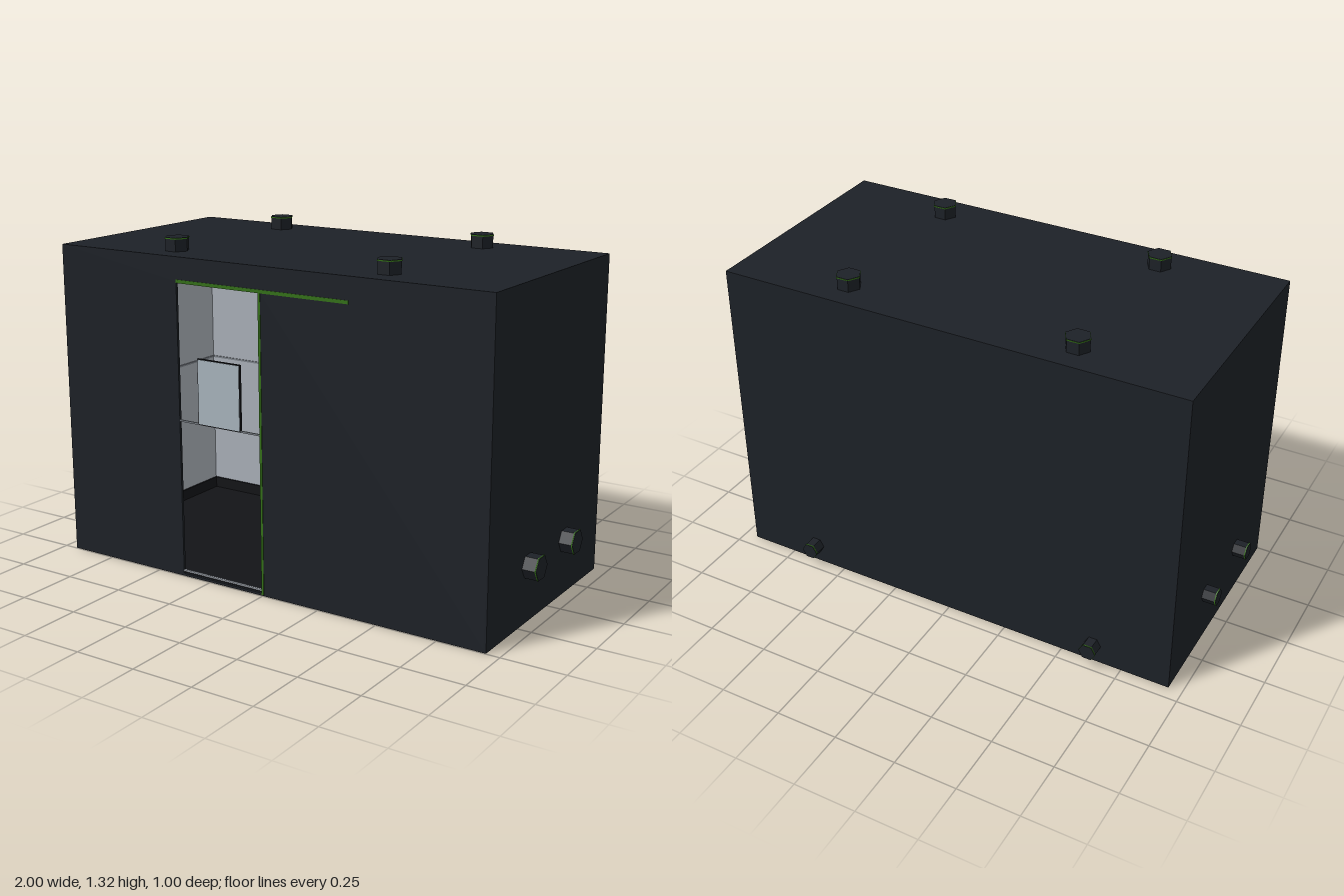
import * as THREE from 'three';

const mat = (color, flatShading = false) => new THREE.MeshStandardMaterial({ color, flatShading });

export function createModel() {
  const root = new THREE.Group();
  const dark = mat(0x1d2127), pipeMat = mat(0x1d2127, true);
  const green = mat(0x347018), pale = mat(0xaab0b8), trim = mat(0x7d838a);
  const glass = mat(0xa8b5bd), black = mat(0x131417);

  // box given by its two extreme corners
  function block(name, material, [x0, y0, z0], [x1, y1, z1], parent = root) {
    const mesh = new THREE.Mesh(new THREE.BoxGeometry(x1 - x0, y1 - y0, z1 - z0), material);
    mesh.position.set((x0 + x1) / 2, (y0 + y1) / 2, (z0 + z1) / 2);
    mesh.name = name;
    parent.add(mesh);
    return mesh;
  }

  const X = 0.945, H = 1.265, ZB = -0.447, ZF = 0.497, T = 0.01;
  const doorL = -0.38, doorR = 0, doorTop = 1.172;

  // outer shell
  block('backWall', dark, [-X, 0, ZB], [X, H, ZB + T]);
  for (const s of [-1, 1]) {
    const a = s * X, b = s * (X - T);
    block(s < 0 ? 'rightWall' : 'leftWall', dark, [Math.min(a, b), 0, ZB], [Math.max(a, b), H, ZF]);
  }
  block('floor', dark, [-X, 0, ZB], [X, T, ZF]);
  block('roof', dark, [-X, H - T, ZB], [X, H, ZF]);

  // front wall with the doorway cut out
  const front = new THREE.Shape();
  front.moveTo(-X, 0).lineTo(X, 0).lineTo(X, H).lineTo(-X, H).closePath();
  const hole = new THREE.Path();
  hole.moveTo(doorL, 0.004).lineTo(doorL, doorTop).lineTo(doorR, doorTop).lineTo(doorR, 0.004).closePath();
  front.holes.push(hole);
  const frontGeo = new THREE.ExtrudeGeometry(front, { depth: T, bevelEnabled: false });
  const frontWall = new THREE.Mesh(frontGeo, dark);
  frontWall.position.z = ZF - T;
  frontWall.name = 'frontWall';
  root.add(frontWall);

  // pale lining, dado line and dark skirting inside the room
  const room = new THREE.Group();
  room.name = 'interior';
  root.add(room);
  const xi = X - T, zi = ZB + T;
  const bands = [
    ['lining', pale, 0.06, H - T, 0.004],
    ['dadoLine', trim, 0.63, 0.638, 0.008],
    ['skirting', black, T, 0.06, 0.012],
  ];
  for (const [name, m, y0, y1, d] of bands) {
    block(name + 'Back', m, [-xi, y0, zi], [xi, y1, zi + d], room);
    block(name + 'Right', m, [-xi, y0, zi], [-xi + d, y1, ZF - T], room);
    block(name + 'Left', m, [xi - d, y0, zi], [xi, y1, ZF - T], room);
  }
  block('ceiling', pale, [-xi, H - T - 0.004, zi], [xi, H - T, ZF - T], room);
  block('floorCovering', black, [-xi, T, zi], [xi, T + 0.004, ZF - T], room);

  // doorway: sill, green rail and post, crossbar
  block('sill', pale, [doorL, 0.018, ZF - T], [doorR, 0.024, ZF]);
  block('doorRail', green, [doorL, 1.166, ZF - 0.004], [0.38, 1.179, 0.499]);
  block('doorPost', green, [doorR - 0.005, 0.004, ZF - 0.004], [doorR + 0.005, doorTop, 0.499]);
  block('crossbar', trim, [doorL, 0.63, ZF - 0.006], [doorR, 0.637, ZF]);

  // small framed pane standing on the crossbar
  const pane = new THREE.Group();
  pane.name = 'doorPane';
  root.add(pane);
  const [l, r, b, t] = [-0.285, -0.095, 0.635, 0.885];
  block('pane', glass, [l, b, ZF - 0.006], [r, t, 0.5], pane);
  block('paneFrame', black, [l - 0.003, b - 0.003, ZF - 0.009], [r + 0.003, t + 0.003, 0.498], pane);

  // six-sided stub pipe with a thin green rim, pointing along dir
  function stub(name, radius, base, dir, length) {
    const g = new THREE.Group();
    g.name = name;
    const add = (part, rad, h, y, m) => {
      const mesh = new THREE.Mesh(new THREE.CylinderGeometry(rad, rad, h, 6), m);
      mesh.position.y = y;
      mesh.name = part;
      g.add(mesh);
    };
    add('pipe', radius * 0.96, length, length / 2, pipeMat);
    add('rim', radius, 0.004, length - 0.003, green);
    add('cap', radius * 0.97, 0.003, length - 0.001, pipeMat);
    g.children.forEach((c) => { c.rotation.y = Math.PI / 6; });
    // corners of the hexagon lie level for every direction
    if (dir === 'right') g.rotation.set(0, Math.PI / 2, Math.PI / 2, 'ZYX');
    if (dir === 'left') g.rotation.set(0, Math.PI / 2, -Math.PI / 2, 'ZYX');
    if (dir === 'back') g.rotation.x = -Math.PI / 2;
    g.position.set(...base);
    root.add(g);
  }
  for (const x of [-0.47, 0.47])
    for (const z of [0.372, -0.325]) stub('roofPipe', 0.05, [x, H, z], 'up', 0.052);
  for (const z of [0.182, -0.133]) {
    stub('leftPipe', 0.05, [X, 0.222, z], 'left', 0.055);
    stub('rightPipe', 0.035, [-X, 0.225, z], 'right', 0.055);
  }
  for (const x of [-0.63, 0.63]) stub('backPipe', 0.035, [x, 0.078, ZB], 'back', 0.053);

  return root;
}
